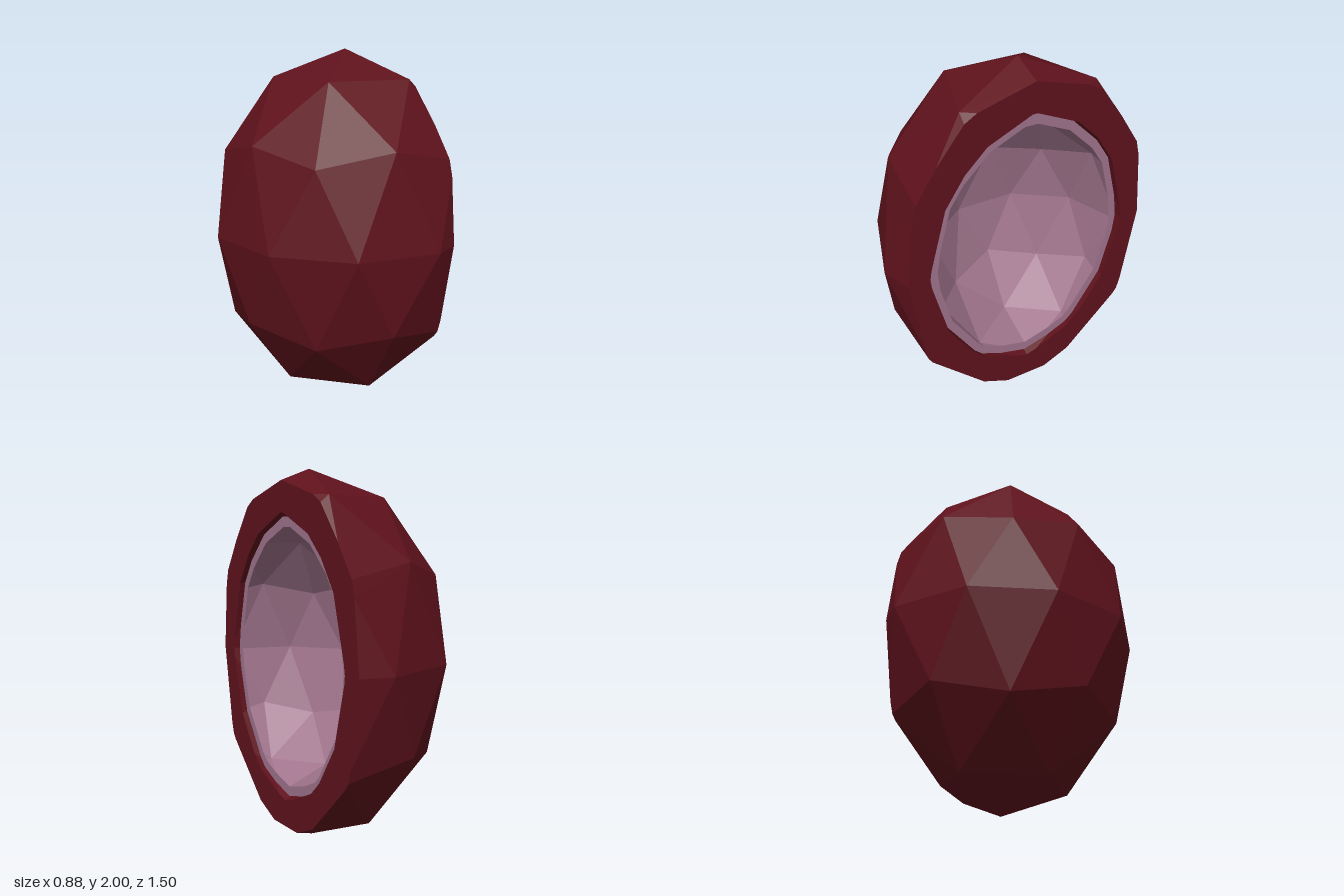
import * as THREE from 'three';

// Egg-shaped faceted ball with a corner pointing straight up
function eggBall(scale, centreX) {
  const g = new THREE.IcosahedronGeometry(1, 1);
  g.rotateZ(-Math.atan(2 / (1 + Math.sqrt(5))));
  g.scale(0.75 * scale, scale, 0.75 * scale);
  g.translate(centreX, 1, 0);
  return g;
}

// Keep the part of the ball with x below the cut; return triangles and the cut outline
function cutBall(ball, cut, inward) {
  const p = ball.getAttribute('position');
  const positions = [];
  const rim = [];
  for (let i = 0; i < p.count; i += 3) {
    const tri = [0, 1, 2].map((k) => new THREE.Vector3().fromBufferAttribute(p, i + k));
    const poly = [];
    tri.forEach((a, k) => {
      const b = tri[(k + 1) % 3];
      if (a.x <= cut) poly.push(a);
      if ((a.x <= cut) !== (b.x <= cut)) {
        const c = a.clone().lerp(b, (cut - a.x) / (b.x - a.x));
        poly.push(c);
        if (!rim.some((r) => r.distanceTo(c) < 1e-4)) rim.push(c);
      }
    });
    if (inward) poly.reverse();
    for (let k = 1; k + 1 < poly.length; k++) {
      for (const v of [poly[0], poly[k], poly[k + 1]]) positions.push(v.x, v.y, v.z);
    }
  }
  const angle = (v) => Math.atan2(v.y - 1, -v.z);
  rim.sort((a, b) => angle(a) - angle(b));
  const geometry = new THREE.BufferGeometry();
  geometry.setAttribute('position', new THREE.Float32BufferAttribute(positions, 3));
  geometry.computeVertexNormals();
  return { geometry, outline: rim.map((v) => new THREE.Vector2(-v.z, v.y)) };
}

// Hollow half shell: outside, inside and the flat ring that joins them
function halfShell(name, outerBall, innerBall, cut, color) {
  const group = new THREE.Group();
  group.name = name;
  const material = new THREE.MeshStandardMaterial({ color, flatShading: true });
  const add = (part, geometry) => {
    const mesh = new THREE.Mesh(geometry, material);
    mesh.name = name + part;
    group.add(mesh);
  };
  const outer = cutBall(outerBall, cut, false);
  const inner = cutBall(innerBall, cut, true);
  add('Outside', outer.geometry);
  add('Inside', inner.geometry);

  const ring = new THREE.Shape(outer.outline);
  ring.holes.push(new THREE.Path(inner.outline));
  const rim = new THREE.ShapeGeometry(ring);
  rim.rotateY(Math.PI / 2);
  rim.translate(cut, 0, 0);
  add('Rim', rim);
  return group;
}

export function createModel() {
  const model = new THREE.Group();
  model.name = 'halvedShell';
  // Thick dark husk; its hollow is centred nearer the cut than its outside
  model.add(halfShell('husk', eggBall(1, 0.27), eggBall(0.78, 0.46), 0.44, 0x5f121c));
  // Thin pale lining set slightly back inside the hollow
  model.add(halfShell('lining', eggBall(0.775, 0.46), eggBall(0.72, 0.46), 0.41, 0xa0748c));
  return model;
}
